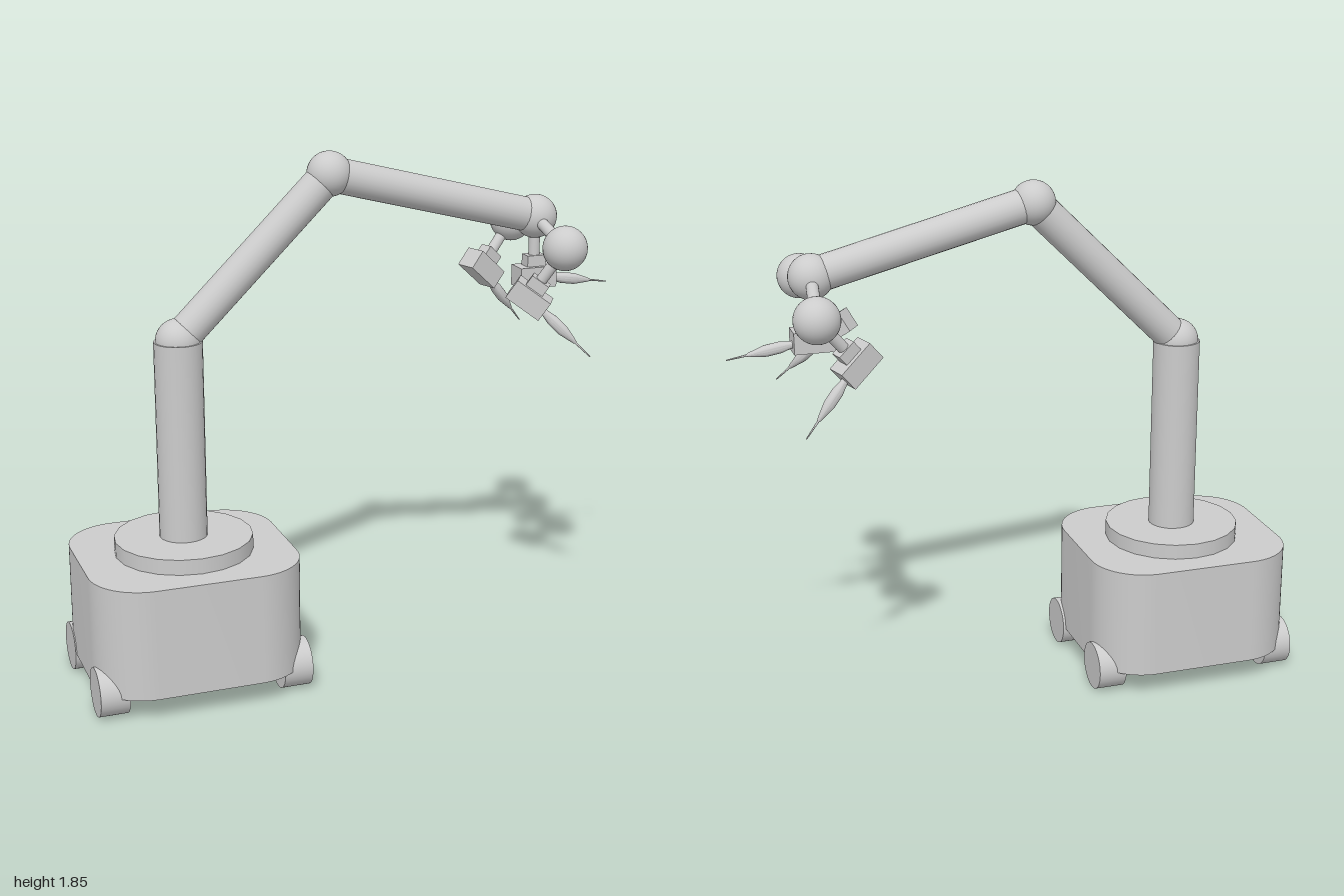
import * as THREE from 'three';
import { toCreasedNormals } from 'three/addons/utils/BufferGeometryUtils.js';

const material = new THREE.MeshStandardMaterial({ color: 0xcccccc });
const V = (x, y, z) => new THREE.Vector3(x, y, z);

function add(parent, name, geometry, x = 0, y = 0, z = 0) {
  const mesh = new THREE.Mesh(geometry, material);
  mesh.name = name;
  mesh.position.set(x, y, z);
  parent.add(mesh);
  return mesh;
}

// Cylinder running from point a to point b
function rod(parent, name, a, b, radius) {
  const dir = b.clone().sub(a);
  const mesh = add(parent, name, new THREE.CylinderGeometry(radius, radius, dir.length(), 24));
  mesh.position.copy(a).add(b).multiplyScalar(0.5);
  mesh.quaternion.setFromUnitVectors(V(0, 1, 0), dir.normalize());
}

function ball(parent, name, p, radius) {
  add(parent, name, new THREE.SphereGeometry(radius, 32, 20), p.x, p.y, p.z);
}

// Rounded rectangle extruded upwards from y = 0
function roundedSlab(width, depth, height, r) {
  const w = width / 2, d = depth / 2;
  const s = new THREE.Shape();
  s.moveTo(-w + r, -d);
  s.absarc(w - r, -d + r, r, -Math.PI / 2, 0);
  s.absarc(w - r, d - r, r, 0, Math.PI / 2);
  s.absarc(-w + r, d - r, r, Math.PI / 2, Math.PI);
  s.absarc(-w + r, -d + r, r, Math.PI, Math.PI * 1.5);
  const g = new THREE.ExtrudeGeometry(s, { depth: height, bevelEnabled: false, curveSegments: 8 });
  g.rotateX(-Math.PI / 2);
  return toCreasedNormals(g, 0.6);
}

// Instrument hanging from a joint: stem, clamp, drive box and needle tool
function instrument(name, joint, up, forward) {
  const g = new THREE.Group();
  g.name = name;
  const u = up.clone().normalize();
  const w = forward.clone().cross(u).normalize();
  const t = u.clone().cross(w);
  g.quaternion.setFromRotationMatrix(new THREE.Matrix4().makeBasis(t, u, w));
  g.position.copy(joint);

  rod(g, 'stem', V(0, 0, 0), V(0, -0.16, 0), 0.02);
  add(g, 'clamp', new THREE.BoxGeometry(0.07, 0.045, 0.05), 0, -0.162, 0);
  add(g, 'driveBox', new THREE.BoxGeometry(0.14, 0.075, 0.083), 0.003, -0.217, 0);

  const profile = [[0, 0], [0.013, 0], [0.013, 0.08], [0.02, 0.115], [0.02, 0.165],
    [0.007, 0.225], [0.004, 0.23], [0.002, 0.3], [0, 0.3]].map(p => new THREE.Vector2(...p));
  const tool = add(g, 'needleTool', toCreasedNormals(new THREE.LatheGeometry(profile, 16), 0.6), 0, -0.217, 0);
  tool.rotation.z = -Math.PI / 2 - 0.155;
  return g;
}

export function createModel() {
  const model = new THREE.Group();
  model.name = 'roboticArmCart';
  const cx = -0.622, cz = 0.007;

  // Cart
  add(model, 'cartBody', roundedSlab(0.742, 0.672, 0.395, 0.19), -0.625, 0.086, cz);
  for (const x of [-0.949, -0.296]) {
    for (const z of [-0.19, 0.212]) {
      const wheel = new THREE.CylinderGeometry(0.086, 0.086, 0.102, 32);
      wheel.rotateZ(Math.PI / 2);
      add(model, 'wheel', wheel, x, 0.086, z);
    }
  }
  add(model, 'turntable', new THREE.CylinderGeometry(0.243, 0.243, 0.055, 20), cx, 0.508, cz);

  // Column and two-part arm
  const shoulder = V(cx, 1.235, cz), elbow = V(-0.077, 1.772, cz), wrist = V(0.702, 1.573, cz);
  rod(model, 'column', V(cx, 0.53, cz), shoulder, 0.084);
  ball(model, 'shoulderJoint', shoulder, 0.078);
  rod(model, 'upperArm', shoulder, elbow, 0.061);
  ball(model, 'elbowJoint', elbow, 0.078);
  rod(model, 'forearm', elbow, wrist, 0.061);
  ball(model, 'wristJoint', wrist, 0.078);

  // Side joints branching from the wrist
  const leftJoint = V(0.69, 1.51, 0.273), rightJoint = V(0.744, 1.503, -0.28);
  for (const p of [leftJoint, rightJoint]) {
    rod(model, 'branch', wrist, p, 0.021);
    ball(model, 'branchJoint', p, 0.078);
  }

  // Instruments
  model.add(instrument('middleInstrument', wrist, V(0, 1, 0), V(1, 0, 0)));
  model.add(instrument('frontInstrument', leftJoint, V(0.1, 0.18, 0.067), V(0.21, -0.21, 0.13)));
  model.add(instrument('rearInstrument', rightJoint, V(0.135, 0.163, -0.04), V(0.17, -0.225, -0.045)));
  return model;
}
